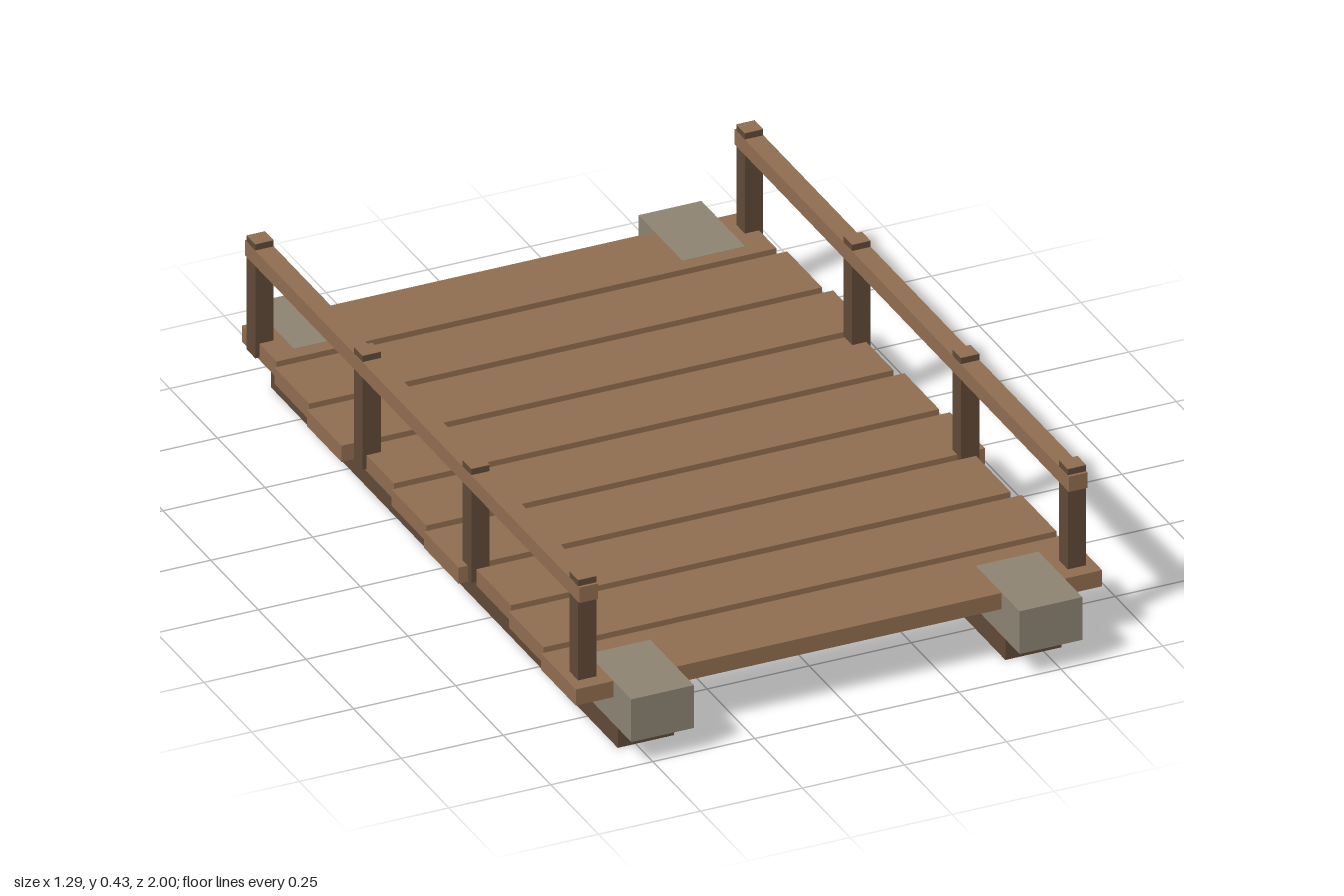
import * as THREE from 'three';

const mat = (name, color) => {
  const m = new THREE.MeshStandardMaterial({ color, side: THREE.DoubleSide });
  m.name = name;
  return m;
};

// Box without its bottom face
function openBox(width, height, depth) {
  const geometry = new THREE.BoxGeometry(width, height, depth);
  const index = Array.from(geometry.index.array);
  index.splice(18, 6);
  geometry.setIndex(index);
  geometry.clearGroups();
  return geometry;
}

export function createModel() {
  const bridge = new THREE.Group();
  bridge.name = 'footbridge';
  const wood = mat('plank wood', 0x906e50);
  const darkWood = mat('dark wood', 0x604a37);
  const stone = mat('stone', 0x8d8372);

  // Hollow block given by its centre in x and z and its bottom and top heights
  const block = (name, material, x, z, width, depth, y0, y1) => {
    const mesh = new THREE.Mesh(openBox(width, y1 - y0, depth), material);
    mesh.name = name;
    mesh.position.set(x, (y0 + y1) / 2, z);
    bridge.add(mesh);
  };

  // Deck planks in three repeating lengths
  const lengths = [1.225, 1.257, 1.29];
  for (let i = 0; i < 9; i++) {
    block('plank', wood, 0, (i - 4) * 0.205 - 0.005, lengths[i % 3], 0.182, 0.129, 0.17);
  }

  for (const side of [-1, 1]) {
    // Supporting beam with a stone block at each end
    block('beam', darkWood, side * 0.475, 0, 0.138, 1.82, 0, 0.1325);
    for (const end of [-1, 1]) {
      block('footStone', stone, side * 0.476, end * 0.885, 0.154, 0.23, 0.062, 0.1705);
    }

    // Railing posts with light top faces, and the handrail
    for (const z of [-0.847, -0.284, 0.287, 0.848]) {
      block('railPost', darkWood, side * 0.6, z, 0.045, 0.045, 0.135, 0.424);
      block('postTop', wood, side * 0.6, z, 0.045, 0.045, 0.424, 0.425);
    }
    block('handrail', wood, side * 0.6, 0, 0.046, 1.755, 0.37, 0.409);
  }
  return bridge;
}
